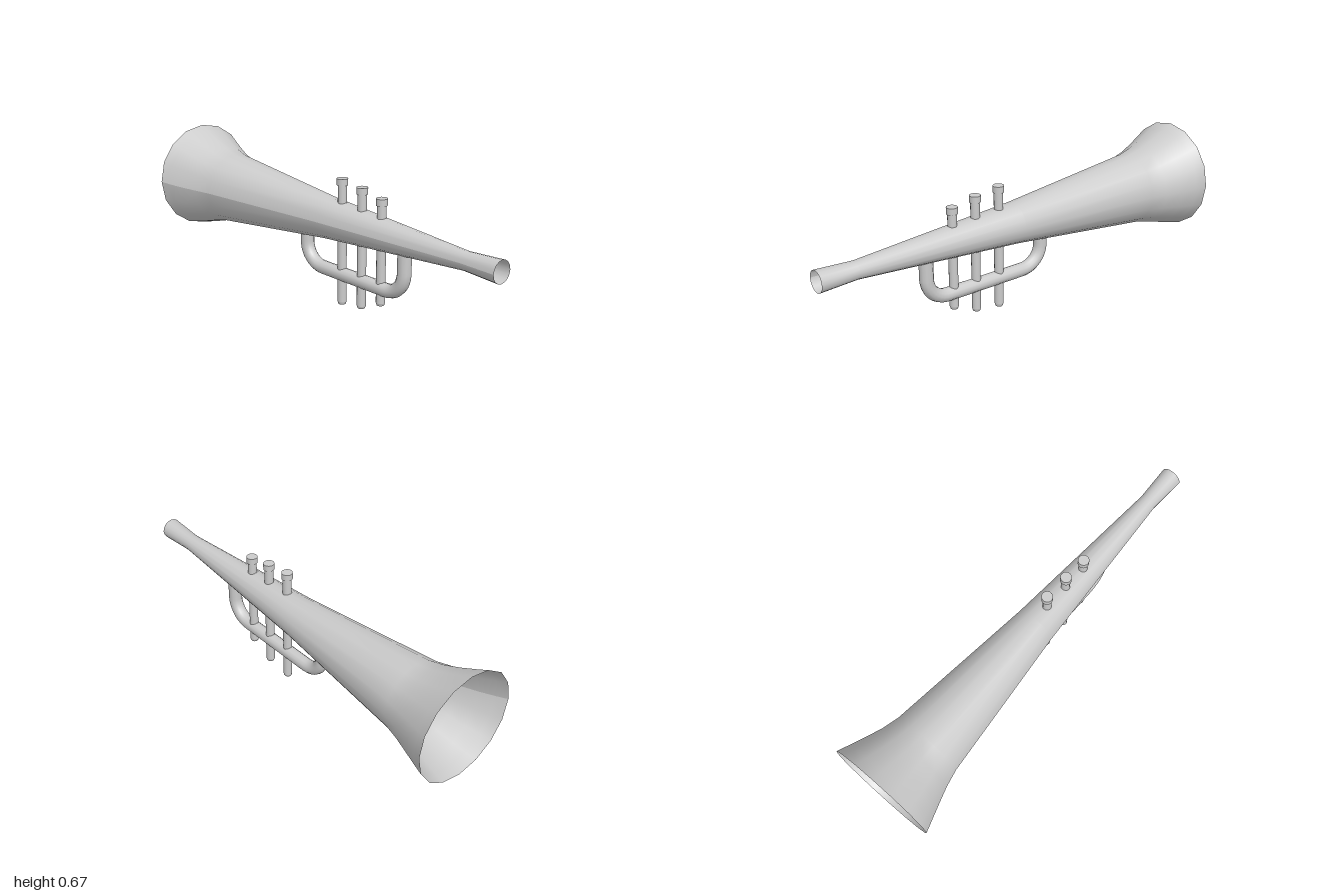
import * as THREE from 'three';

const material = new THREE.MeshStandardMaterial({ color: 0xcccccc, side: THREE.DoubleSide });
const AXIS_Y = 0.393;

function addMesh(parent, geometry, name) {
  const mesh = new THREE.Mesh(geometry, material);
  mesh.name = name;
  parent.add(mesh);
  return mesh;
}

// Open, hollow horn: a 16-sided lathe laid along x
function hornGeometry() {
  const profile = [ // [radius, x]
    [0.26, -1], [0.242, -0.95], [0.217, -0.88], [0.19, -0.8], [0.171, -0.72],
    [0.097, 0], [0.041, 0.82], [0.05, 1],
  ].map(([r, x]) => new THREE.Vector2(r, x));
  const geometry = new THREE.LatheGeometry(profile, 16);
  geometry.rotateZ(-Math.PI / 2);
  geometry.translate(0, AXIS_Y, 0);
  // The bell lifts slightly towards its rim
  const p = geometry.attributes.position;
  for (let i = 0; i < p.count; i++) {
    const t = Math.max(0, (-0.72 - p.getX(i)) / 0.28);
    p.setY(i, p.getY(i) + 0.021 * t * t);
  }
  geometry.computeVertexNormals();
  return geometry;
}

// U-shaped tube under the horn
function loopGeometry() {
  const v = (x, y) => new THREE.Vector3(x, y, 0);
  const path = new THREE.CurvePath();
  path.add(new THREE.LineCurve3(v(-0.16, 0.295), v(-0.16, 0.25)));
  path.add(new THREE.CubicBezierCurve3(v(-0.16, 0.25), v(-0.16, 0.19), v(-0.11, 0.144), v(-0.05, 0.144)));
  path.add(new THREE.LineCurve3(v(-0.05, 0.144), v(0.37, 0.144)));
  path.add(new THREE.CubicBezierCurve3(v(0.37, 0.144), v(0.43, 0.144), v(0.477, 0.19), v(0.477, 0.25)));
  path.add(new THREE.LineCurve3(v(0.477, 0.25), v(0.477, 0.34)));
  return new THREE.TubeGeometry(path, 48, 0.032, 12, false);
}

// Valve: long stem with a bevelled foot, and a wider cap
function makeValve(x, bottom, top) {
  const valve = new THREE.Group();
  valve.name = 'valve';
  const foot = 0.012, cap = 0.031;
  const stemHeight = top - cap - bottom - foot;
  addMesh(valve, new THREE.CylinderGeometry(0.021, 0.021, stemHeight, 14), 'valveStem')
    .position.y = bottom + foot + stemHeight / 2;
  addMesh(valve, new THREE.CylinderGeometry(0.021, 0.017, foot, 14), 'valveFoot')
    .position.y = bottom + foot / 2;
  addMesh(valve, new THREE.CylinderGeometry(0.026, 0.026, cap, 14), 'valveCap')
    .position.y = top - cap / 2;
  valve.position.x = x;
  return valve;
}

export function createModel() {
  const model = new THREE.Group();
  model.name = 'trumpet';
  addMesh(model, hornGeometry(), 'horn');
  addMesh(model, loopGeometry(), 'tubeLoop');
  for (const [x, bottom, top] of [[0.083, 0, 0.593], [0.212, 0.016, 0.577], [0.335, 0.065, 0.552]]) {
    model.add(makeValve(x, bottom, top));
  }
  return model;
}
